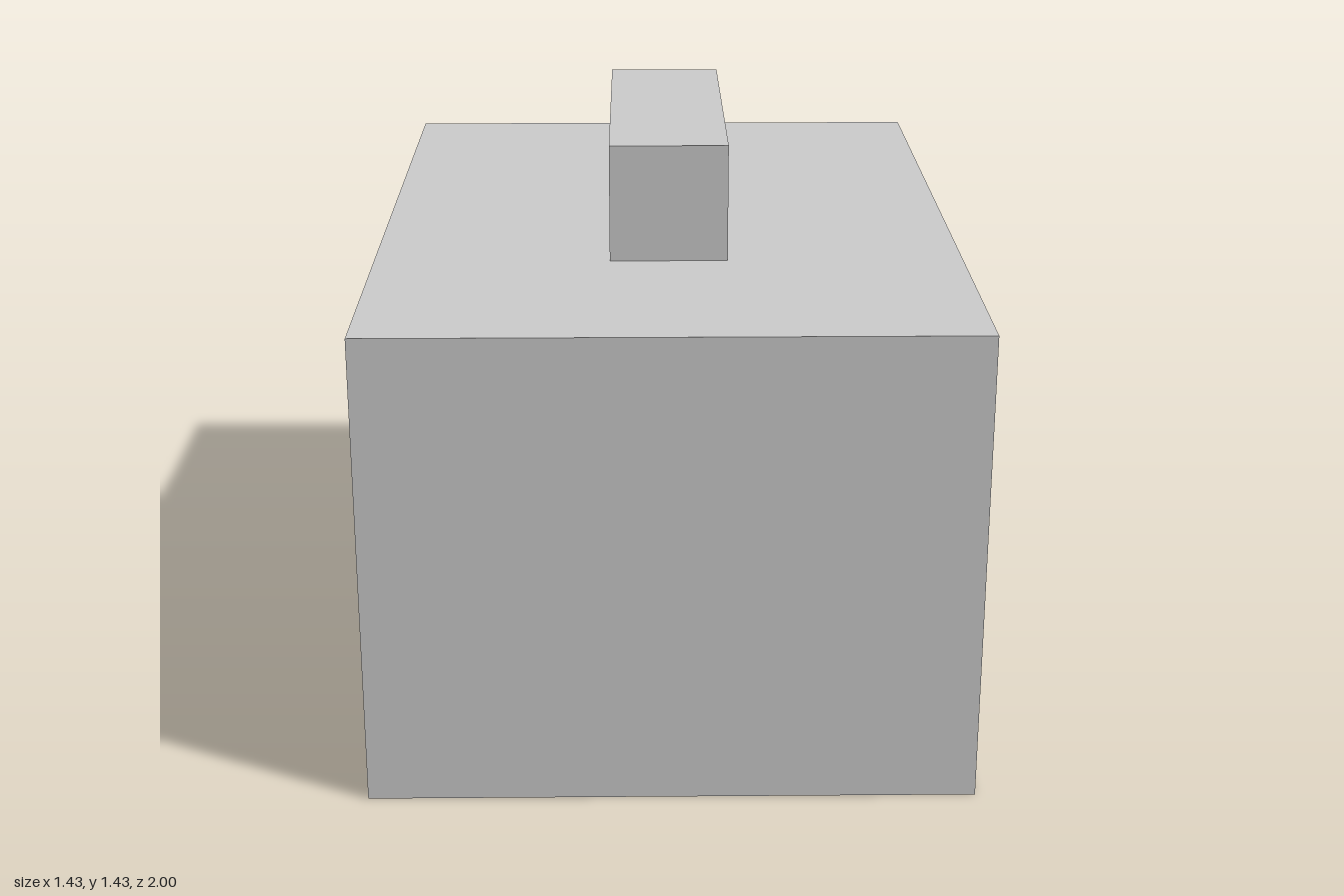
import * as THREE from 'three';

const U = 1 / 7; // proportions fall on a grid of sevenths
const material = new THREE.MeshStandardMaterial({ color: 0xcccccc, flatShading: true });

// Box centred on x and z, standing on height y
function block(name, width, height, depth, y) {
  const mesh = new THREE.Mesh(new THREE.BoxGeometry(width * U, height * U, depth * U), material);
  mesh.name = name;
  mesh.position.y = (y + height / 2) * U;
  return mesh;
}

export function createModel() {
  const model = new THREE.Group();
  model.name = 'blockWithTopBar';
  model.add(
    block('body', 10, 8, 14, 0),
    block('topBar', 2, 2, 6, 8), // raised bar on the middle of the top
  );
  return model;
}
